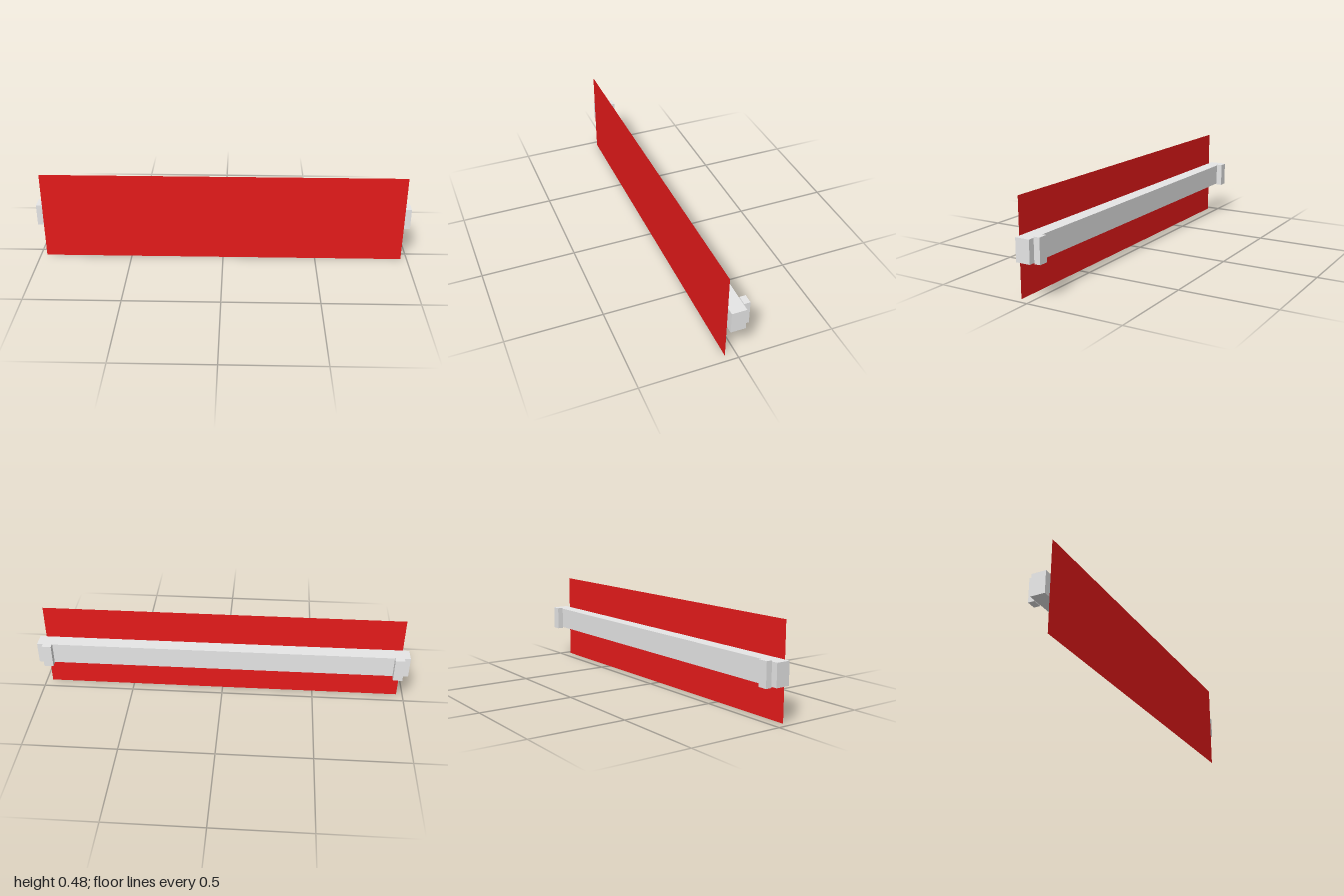
import * as THREE from 'three';

export function createModel() {
  const model = new THREE.Group();
  model.name = 'signBoard';

  const red = new THREE.MeshStandardMaterial({ color: 0xe61a1a, side: THREE.DoubleSide });
  red.name = 'red panel';
  const grey = new THREE.MeshStandardMaterial({ color: 0xe6e6e6 });
  grey.name = 'light grey metal';

  const add = (name, geometry, material, x, y, z) => {
    const mesh = new THREE.Mesh(geometry, material);
    mesh.name = name;
    mesh.position.set(x, y, z);
    model.add(mesh);
  };

  // Thin flat panel in front of the rail
  add('panel', new THREE.PlaneGeometry(1.934, 0.483), red, 0, 0.2415, 0.056);

  // Horizontal support rail
  add('rail', new THREE.BoxGeometry(2, 0.116, 0.076), grey, 0, 0.243, 0.014);

  // Mounting brackets behind both ends of the rail
  for (const [name, side] of [['leftBracket', 1], ['rightBracket', -1]]) {
    add(name, new THREE.BoxGeometry(0.05, 0.127, 0.032), grey, side * 0.942, 0.243, -0.04);
  }

  return model;
}
